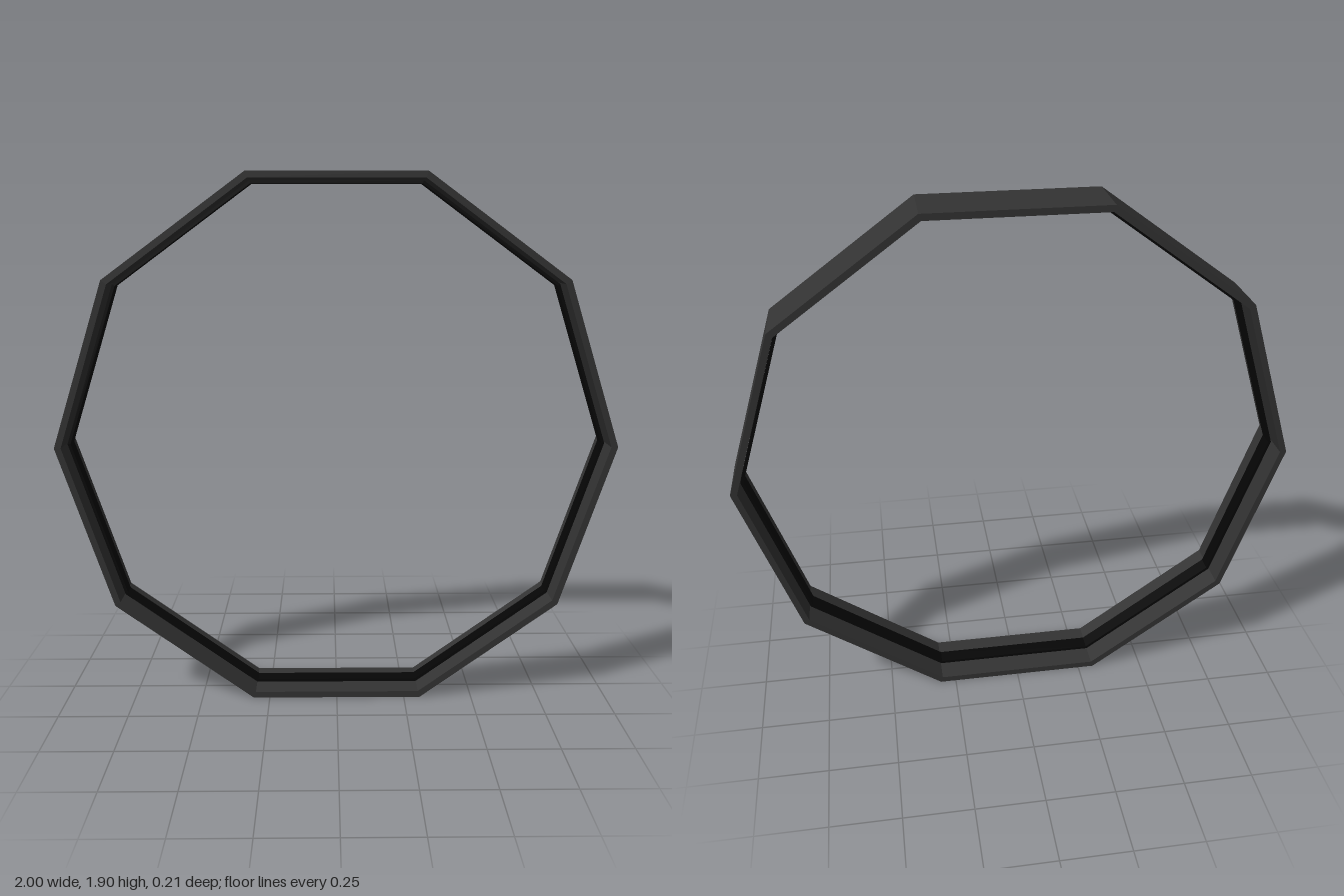
import * as THREE from 'three';

const SIDES = 10;
const CENTRE_Y = Math.cos(Math.PI / SIDES); // the ring rests on a flat side

// Corners of a regular decagon with points on the x axis
function corners(radius) {
  return Array.from({ length: SIDES }, (_, i) => {
    const a = (i / SIDES) * Math.PI * 2;
    return new THREE.Vector2(Math.cos(a) * radius, Math.sin(a) * radius);
  });
}

// Flat-sided hoop, centred on z = 0
function hoop(name, outer, inner, depth, material) {
  const shape = new THREE.Shape(corners(outer));
  shape.holes.push(new THREE.Path(corners(inner)));
  const geometry = new THREE.ExtrudeGeometry(shape, { depth, bevelEnabled: false });
  geometry.translate(0, CENTRE_Y, -depth / 2);
  const mesh = new THREE.Mesh(geometry, material);
  mesh.name = name;
  return mesh;
}

export function createModel() {
  const charcoal = new THREE.MeshStandardMaterial({ color: 0x333333 });
  charcoal.name = 'charcoal';
  const black = new THREE.MeshStandardMaterial({ color: 0x060606 });
  black.name = 'black';

  const group = new THREE.Group();
  group.name = 'decagonRing';
  // Wide outer band
  group.add(hoop('outerBand', 1, 0.976, 0.21, charcoal));
  // Narrow strip running just inside the band, with a hairline gap
  group.add(hoop('innerStrip', 0.971, 0.96, 0.055, black));
  return group;
}
